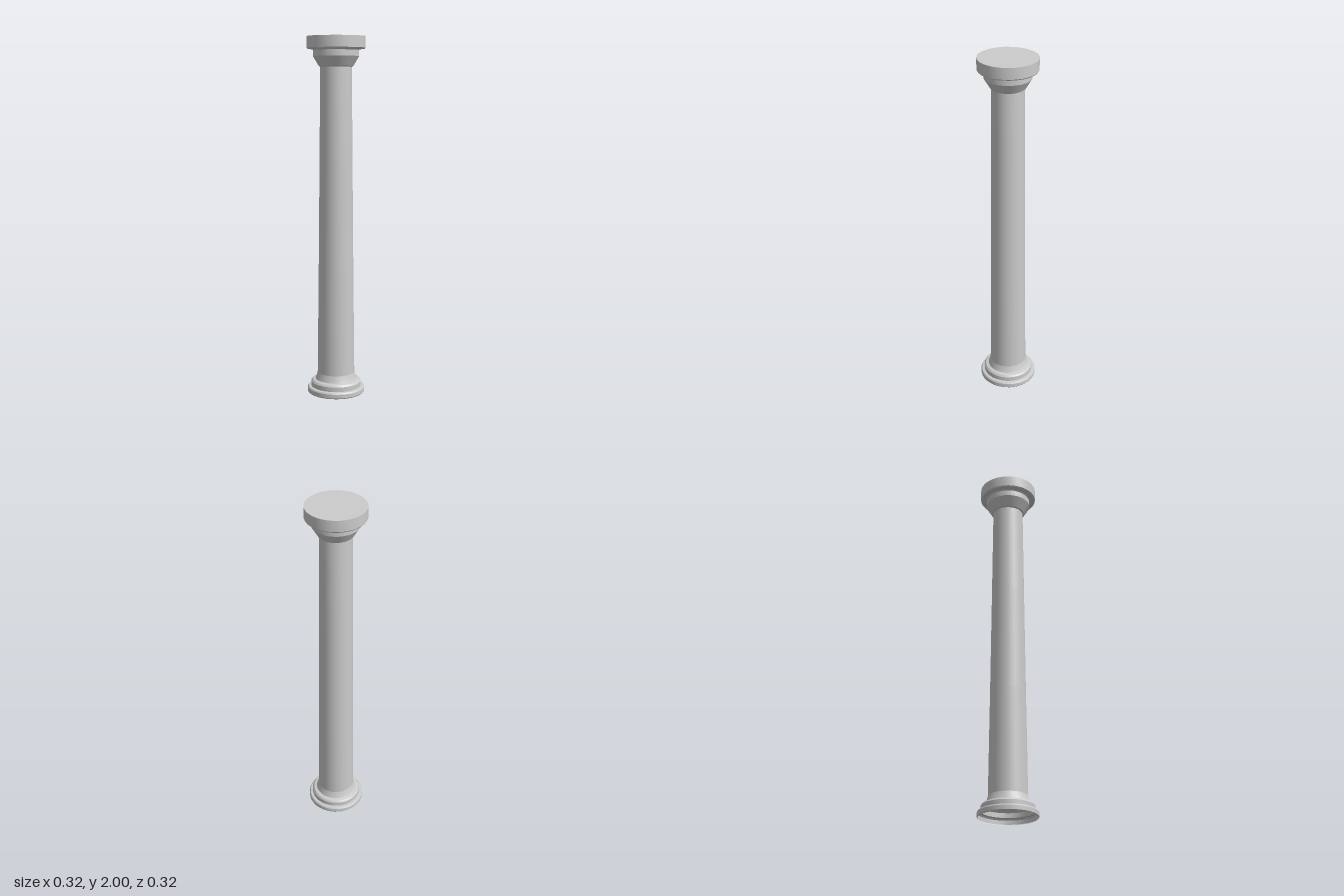
import * as THREE from 'three';
import { toCreasedNormals } from 'three/addons/utils/BufferGeometryUtils.js';

const SIDES = 32;
const stone = new THREE.MeshStandardMaterial({ color: 0xcccccc, side: THREE.DoubleSide });

// Turned section from [radius, height] pairs, listed bottom to top
function turned(name, profile) {
  const points = profile.map(([r, y]) => new THREE.Vector2(r, y));
  const geometry = toCreasedNormals(new THREE.LatheGeometry(points, SIDES), 0.45);
  const mesh = new THREE.Mesh(geometry, stone);
  mesh.name = name;
  return mesh;
}

export function createModel() {
  const column = new THREE.Group();
  column.name = 'column';

  column.add(
    // Hollow stepped base, open underneath
    turned('base', [
      [0.158, 0], [0.162, 0.005], [0.162, 0.027], [0.157, 0.034],
      [0.142, 0.036], [0.142, 0.062], [0.134, 0.072],
      [0.117, 0.076], [0.113, 0.085], [0.105, 0.115],
    ]),
    // Tapering shaft
    turned('shaft', [[0.105, 0.115], [0.098, 0.7], [0.092, 1.3], [0.087, 1.835]]),
    // Flared neck under the top slab
    turned('capital', [
      [0.087, 1.835], [0.095, 1.84], [0.127, 1.893], [0.127, 1.926], [0.134, 1.932],
    ]),
    // Round top slab
    turned('topSlab', [[0.134, 1.932], [0.157, 1.932], [0.162, 1.938], [0.162, 2], [0, 2]]),
  );
  return column;
}
